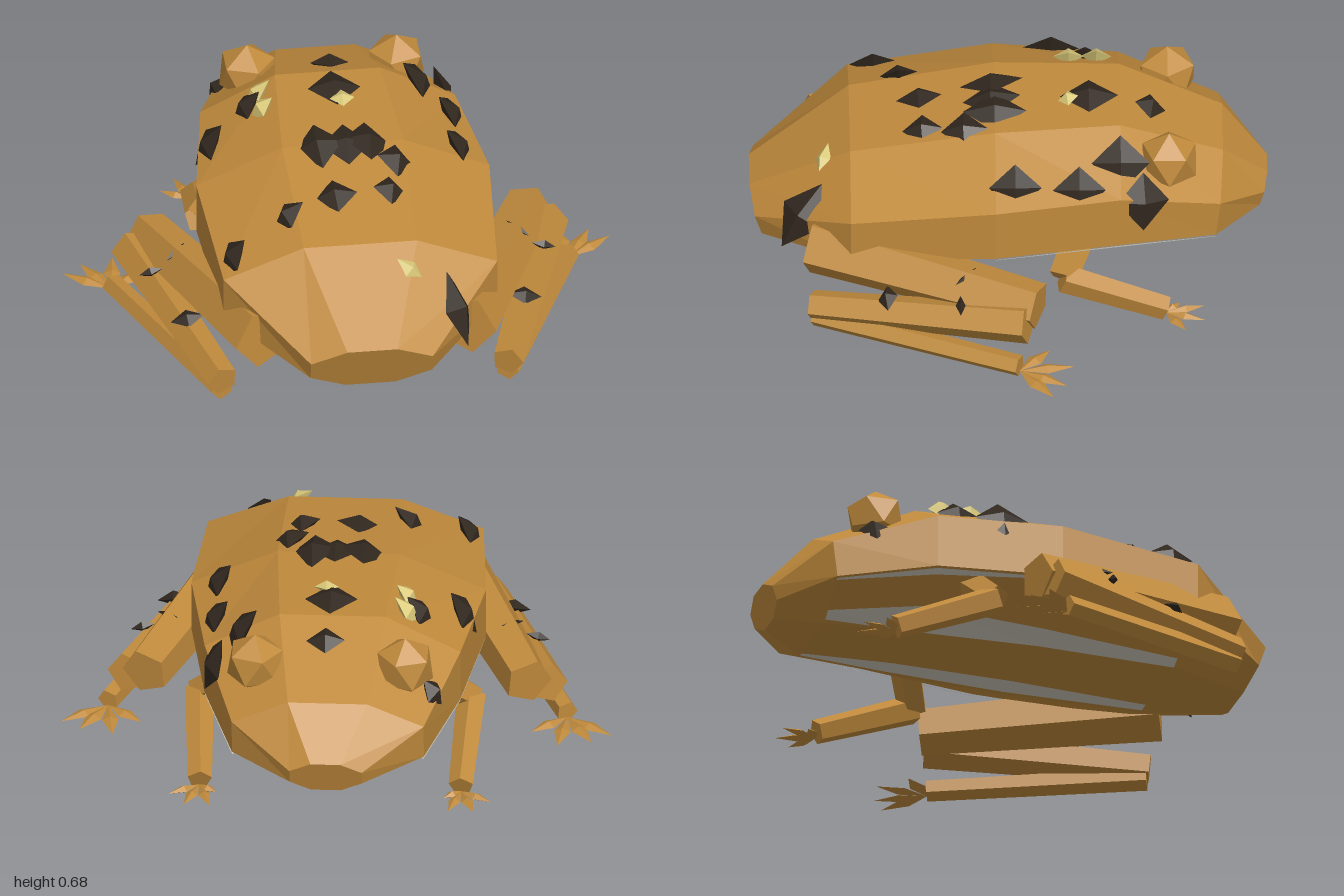
import * as THREE from 'three';

const V = (x, y, z) => new THREE.Vector3(x, y, z);
const UP = V(0, 1, 0);

// Body rings from rump to snout: [z, half width, bottom, top, lean in z]
const RINGS = [
  [0.9, 0.22, 0.15, 0.33, 0.03],
  [0.57, 0.495, 0.16, 0.55, 0],
  [0.05, 0.53, 0.165, 0.635, 0],
  [-0.4, 0.46, 0.17, 0.645, 0],
  [-0.75, 0.345, 0.175, 0.5, -0.02],
  [-0.91, 0.13, 0.21, 0.34, -0.02],
];

// Corner j of the octagonal ring k
function ringPoint(k, j) {
  const [z, w, lo, hi, lean] = RINGS[k];
  const a = Math.PI / 8 + (j * Math.PI) / 4;
  const c = Math.cos(Math.PI / 8);
  const u = Math.cos(a) / c, v = Math.sin(a) / c;
  return V(u * w, (lo + hi) / 2 + (v * (hi - lo)) / 2, z + lean * v);
}

function triangles(points) {
  const g = new THREE.BufferGeometry().setFromPoints(points);
  g.computeVertexNormals();
  return g;
}

function bodyGeometry() {
  const t = [], last = RINGS.length - 1;
  for (let j = 0; j < 8; j++) {
    for (let k = 0; k < last; k++) {
      const a = ringPoint(k, j), b = ringPoint(k, j + 1);
      const c = ringPoint(k + 1, j), d = ringPoint(k + 1, j + 1);
      t.push(a, c, b, b, c, d);
    }
    if (j > 0 && j < 7) {
      t.push(ringPoint(0, 0), ringPoint(0, j), ringPoint(0, j + 1));
      t.push(ringPoint(last, 0), ringPoint(last, j + 1), ringPoint(last, j));
    }
  }
  return triangles(t);
}

// Pale strip on the body face between corners j and j - 1; spans give its
// edges as fractions of that face at successive rings
function stripGeometry(side, j, firstRing, spans, out) {
  const rows = spans.map((span, i) => span.map((f) => {
    const p = ringPoint(firstRing + i, j).lerp(ringPoint(firstRing + i, j - 1), f);
    return V((p.x + out) * side, p.y - 0.006, p.z);
  }));
  const t = [];
  for (let i = 0; i < rows.length - 1; i++) {
    const [a, b] = rows[i], [c, d] = rows[i + 1];
    if (side > 0) t.push(a, b, c, b, d, c);
    else t.push(a, c, b, b, c, d);
  }
  return triangles(t);
}

export function createModel() {
  const group = new THREE.Group();
  const paint = (name, color) => {
    const m = new THREE.MeshStandardMaterial({ color });
    m.name = name;
    m.flatShading = true;
    return m;
  };
  const skin = paint('skin', 0xc08a3c);
  const dark = paint('darkSpot', 0x30271e);
  const pale = paint('paleSpot', 0xd8c878);
  const belly = paint('belly', 0xccc8ba);
  belly.side = THREE.DoubleSide;

  function add(name, geometry, material, position) {
    const m = new THREE.Mesh(geometry, material);
    m.name = name;
    if (position) m.position.copy(position);
    group.add(m);
    return m;
  }

  // Tapered limb segment between two joints
  function limb(name, a, b, ra, rb) {
    const dir = b.clone().sub(a);
    const m = add(name, new THREE.CylinderGeometry(rb, ra, dir.length(), 5), skin,
      a.clone().add(b).multiplyScalar(0.5));
    m.quaternion.setFromUnitVectors(UP, dir.normalize());
  }

  // Flat pointed toes fanning out from the ankle or wrist
  function toes(name, base, tips, width) {
    for (const [x, z] of tips) {
      const dir = V(x - base.x, 0, z - base.z), len = dir.length();
      const g = new THREE.OctahedronGeometry(1);
      g.scale(width, 0.014, len / 2);
      const m = add(name, g, skin, V((x + base.x) / 2, 0.018, (z + base.z) / 2));
      m.rotation.y = Math.atan2(dir.x, dir.z);
    }
  }

  // Flattened wart: short axis along the normal, length rz along a direction
  function wart(name, material, pos, normal, rx, rz, thick, along = V(0, 0, 1)) {
    const g = new THREE.OctahedronGeometry(1);
    g.scale(rx, thick, rz);
    const n = normal.clone().normalize();
    const across = n.clone().cross(along).normalize();
    const m = add(name, g, material, pos);
    m.quaternion.setFromRotationMatrix(
      new THREE.Matrix4().makeBasis(across, n, across.clone().cross(n)));
  }

  const body = add('body', bodyGeometry(), skin);

  // Belly showing in slivers, lying slightly off centre
  add('bellyStrip', stripGeometry(1, 6, 1, [[0.08, 0.2], [0.08, 0.3], [0.08, 0.28], [0.04, 0.1]], 0), belly);
  add('bellyStrip', stripGeometry(-1, 7, 1, [[0.85, 1], [0.75, 1], [0.6, 1], [0.7, 0.9]], 0.004), belly);

  for (const s of [1, -1]) {
    add('flankStrip', stripGeometry(s, 7, 2, [[0.02, 0.04], [0.02, 0.12], [0.02, 0.06]], 0.004), belly);

    const eye = add('eye', new THREE.IcosahedronGeometry(0.112, 0), skin, V(0.27 * s, 0.55, -0.575));
    eye.rotation.z = 0.5536 * s;

    // Folded hind leg
    const ankle = V(0.515 * s, 0.055, 0.7), heel = V(0.825 * s, 0.04, -0.03);
    limb('thigh', V(0.365 * s, 0.26, 0.7), V(0.69 * s, 0.205, -0.1), 0.115, 0.088);
    limb('shank', V(0.755 * s, 0.175, -0.06), V(0.515 * s, 0.095, 0.71), 0.075, 0.058);
    limb('hindFootBone', ankle, heel, 0.045, 0.04);
    toes('hindToe', heel,
      [[0.99 * s, -0.15], [0.92 * s, -0.2], [0.8 * s, -0.23], [0.7 * s, -0.14]], 0.03);

    // Front leg
    const elbow = V(0.49 * s, 0.19, -0.19), wrist = V(0.47 * s, 0.04, -0.56);
    limb('upperArm', V(0.36 * s, 0.31, -0.26), elbow, 0.06, 0.055);
    limb('forearm', elbow, wrist, 0.055, 0.046);
    toes('frontToe', wrist,
      [[0.58 * s, -0.63], [0.52 * s, -0.7], [0.43 * s, -0.7], [0.41 * s, -0.61]], 0.022);

    // Leg spots
    wart('legSpot', dark, V(0.61 * s, 0.19, 0.44), V(0.2 * s, 1, 0.4), 0.062, 0.038, 0.027);
    wart('legSpot', dark, V(0.71 * s, 0.225, 0.18), V(0.3 * s, 1, 0), 0.045, 0.018, 0.02);
    wart('legSpot', dark, V(0.62 * s, 0.29, 0.16), V(0.3 * s, 1, 0), 0.013, 0.055, 0.016, V(s, 0, 0.9));
  }

  // Back spots: [x, z, half width, half length], dropped onto the body surface
  const ray = new THREE.Raycaster();
  function scatter(name, material, list, lift, thick) {
    for (const [x, z, rx, rz] of list) {
      ray.set(V(x, 2, z), V(0, -1, 0));
      const hit = ray.intersectObject(body)[0];
      const n = hit.face.normal.clone();
      n.x += x * 2.4;
      wart(name, material, V(x, hit.point.y + lift, z), n, rx, rz, thick);
    }
  }
  scatter('darkSpot', dark, [
    [0.02, -0.51, 0.07, 0.058], [0.01, -0.29, 0.095, 0.105], [-0.31, -0.28, 0.08, 0.075],
    [0.33, -0.4, 0.1, 0.105], [0.43, -0.25, 0.085, 0.095],
    [0.43, -0.02, 0.085, 0.095], [-0.46, -0.16, 0.095, 0.1], [-0.09, 0.06, 0.09, 0.115],
    [0.01, 0.06, 0.09, 0.105], [0.09, 0.05, 0.09, 0.115], [0.18, 0.16, 0.075, 0.085],
    [0.14, 0.31, 0.065, 0.073], [-0.06, 0.32, 0.08, 0.083], [-0.24, 0.39, 0.078, 0.068],
    [-0.45, 0.48, 0.08, 0.085], [-0.37, -0.61, 0.06, 0.06],
  ], 0.004, 0.034);
  scatter('paleSpot', pale, [[-0.265, -0.32, 0.07, 0.055], [-0.26, -0.22, 0.055, 0.055]], 0.014, 0.03);
  wart('paleSpot', pale, V(0.03, 0.652, -0.215), V(0, 1, 0.3), 0.045, 0.038, 0.024);
  wart('paleSpot', pale, V(0.17, 0.492, 0.665), V(0.5, 1, 0.8), 0.035, 0.062, 0.024, V(1, -0.5, 0.5));
  wart('darkSpot', dark, V(0.425, 0.475, -0.48), V(1, 0.3, -0.25), 0.11, 0.095, 0.034);
  wart('rumpSpot', dark, V(0.33, 0.36, 0.745), V(0.75, 0.45, 0.4), 0.085, 0.14, 0.04, V(0.09, -0.21, 0.16));

  return group;
}
